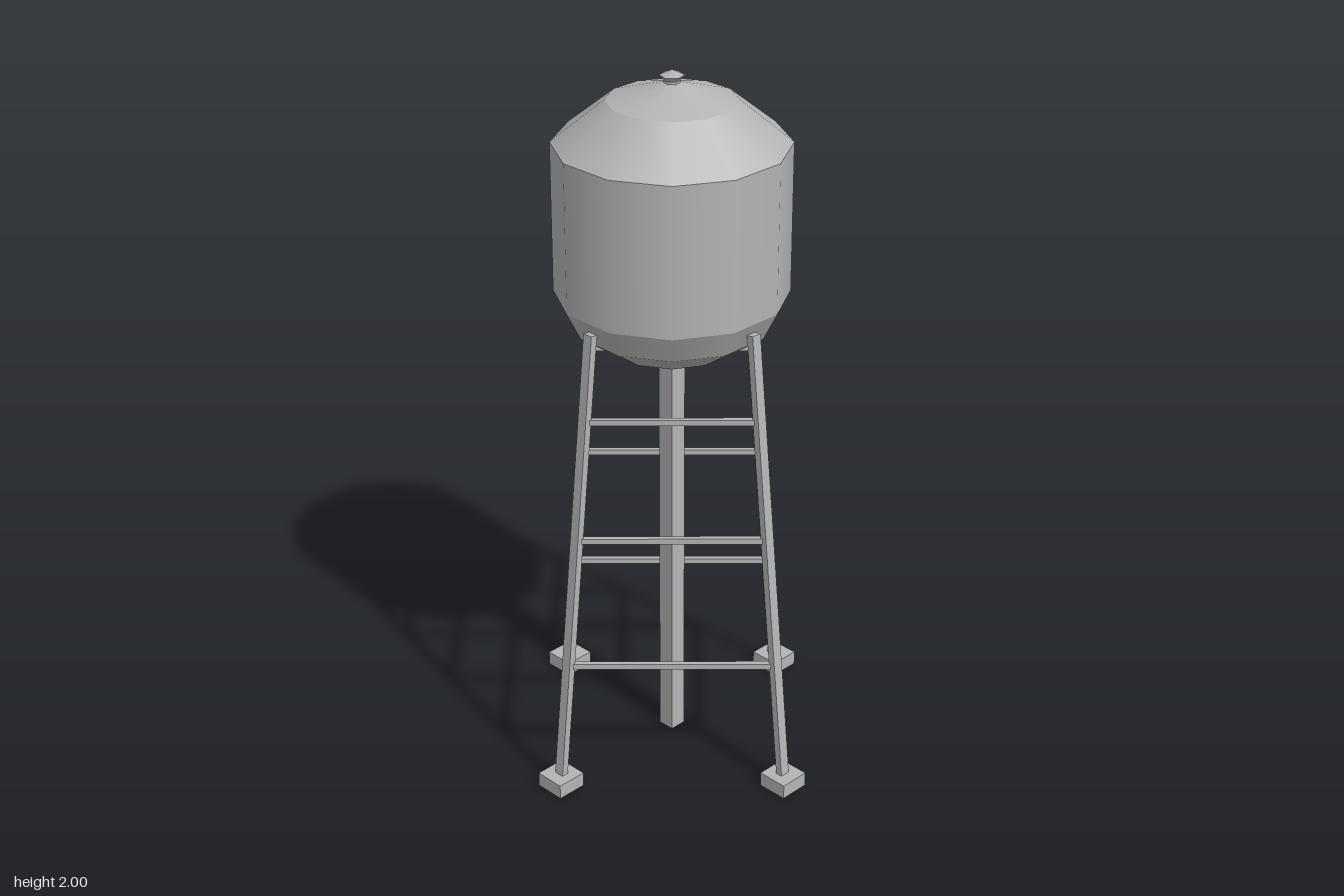
import * as THREE from 'three';
import { mergeGeometries } from 'three/addons/utils/BufferGeometryUtils.js';

const steel = new THREE.MeshStandardMaterial({ color: 0xb4b4b4 });
steel.name = 'grey steel';

// Lathe made of separate bands: smooth around, sharp between bands
function bandedLathe(profile, sides, start = 0) {
  const bands = [];
  for (let i = 0; i < profile.length - 1; i++) {
    const pts = [profile[i], profile[i + 1]].map(([r, y]) => new THREE.Vector2(r, y));
    bands.push(new THREE.LatheGeometry(pts, sides, start));
  }
  return mergeGeometries(bands);
}

export function createModel() {
  const model = new THREE.Group();
  model.name = 'waterTower';
  const add = (name, geometry, parent = model) => {
    const mesh = new THREE.Mesh(geometry, steel);
    mesh.name = name;
    parent.add(mesh);
    return mesh;
  };

  // Tank with dished bottom and two-slope roof
  add('tank', bandedLathe([
    [0, 1.21], [0.178, 1.238], [0.277, 1.307], [0.317, 1.387],
    [0.317, 1.805], [0.174, 1.92], [0, 1.972],
  ], 12));

  // Hexagonal vent on the roof
  add('roofVent', bandedLathe([
    [0.022, 1.955], [0.022, 1.973], [0.034, 1.986], [0, 2],
  ], 6, Math.PI / 6));

  // Square riser pipe, turned corner-on
  const side = 0.035 * Math.SQRT2;
  const riser = add('riserPipe', new THREE.BoxGeometry(side, 1.23, side));
  riser.position.y = 0.615;
  riser.rotation.y = Math.PI / 4;

  // Four inclined legs on footings; local +z points outward
  const topY = 1.355, bottomOffset = 0.314, topOffset = 0.212;
  const legOffset = (y) => bottomOffset + (topOffset - bottomOffset) * y / topY;
  const lean = (bottomOffset - topOffset) * Math.SQRT2;
  for (let i = 0; i < 4; i++) {
    const corner = new THREE.Group();
    corner.name = 'legAssembly';
    corner.rotation.y = Math.PI / 4 + i * Math.PI / 2;
    model.add(corner);

    const leg = add('leg', new THREE.BoxGeometry(0.03, Math.hypot(topY, lean), 0.02), corner);
    leg.position.set(0, topY / 2, legOffset(topY / 2) * Math.SQRT2);
    leg.rotation.x = -Math.atan2(lean, topY);

    const foot = add('footing', new THREE.BoxGeometry(0.089, 0.042, 0.089), corner);
    foot.position.set(0, 0.021, 0.312 * Math.SQRT2);
  }

  // Three square rings of horizontal braces between the legs
  for (const y of [0.384, 0.765, 1.11]) {
    const ring = new THREE.Group();
    ring.name = 'braceRing';
    model.add(ring);
    const d = legOffset(y);
    for (let i = 0; i < 4; i++) {
      const a = i * Math.PI / 2;
      const brace = add('brace', new THREE.BoxGeometry(2 * d, 0.016, 0.016), ring);
      brace.position.set(Math.sin(a) * d, y, Math.cos(a) * d);
      brace.rotation.y = a;
    }
  }
  return model;
}
